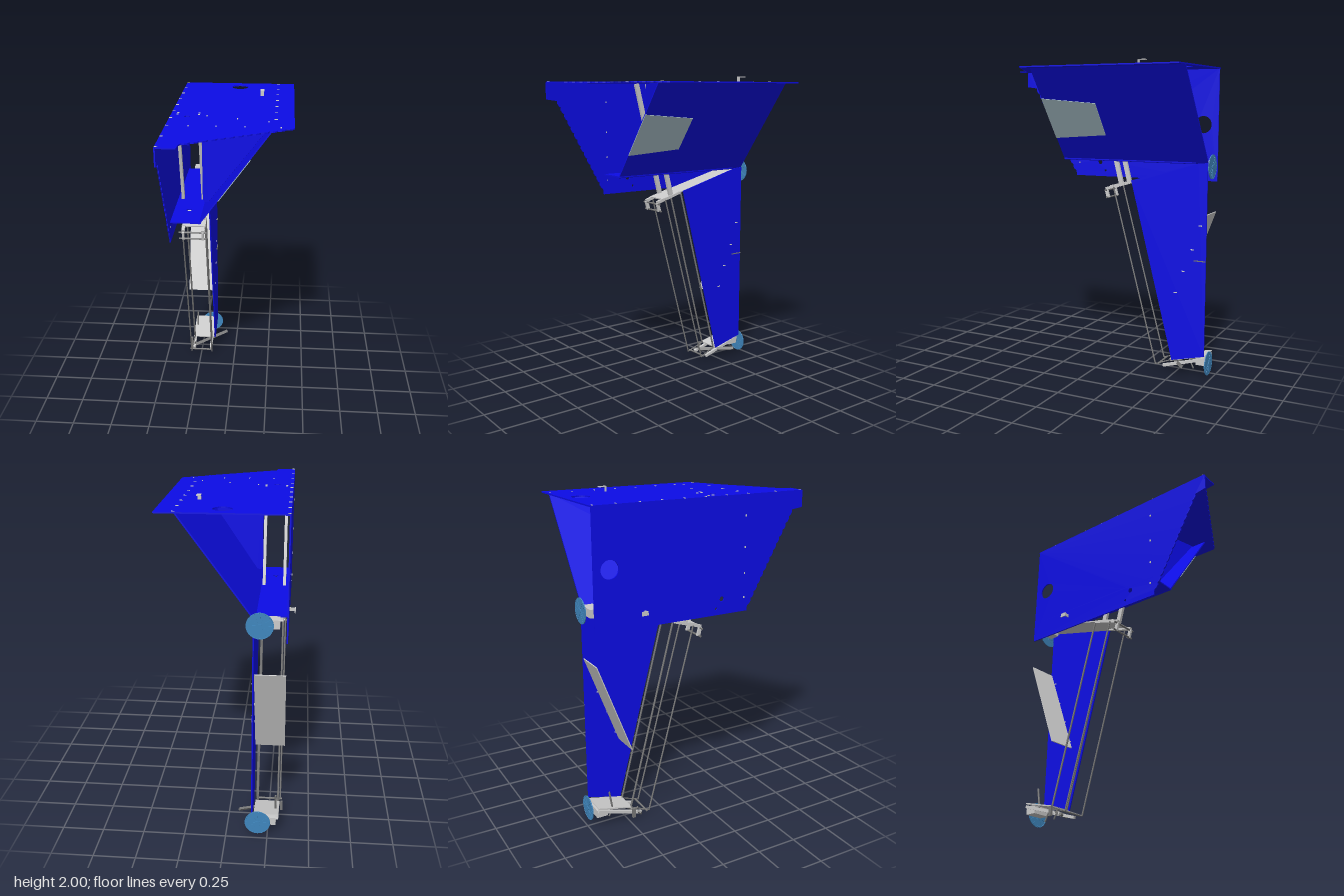
import * as THREE from 'three';

const mat = (color) => new THREE.MeshStandardMaterial({ color, flatShading: true });
const BLUE = mat(0x0c0ce6), GREY = mat(0xcccccc), DARK = mat(0x777777);
const PANE = mat(0xb4ccd6), WHEEL = mat(0x3f86bd);
const T = 0.008; // sheet thickness

export function createModel() {
  const model = new THREE.Group();

  const add = (name, geo, material, parent = model) => {
    const m = new THREE.Mesh(geo, material);
    m.name = name;
    parent.add(m);
    return m;
  };
  const box = (name, w, h, d, x, y, z, material = GREY, parent = model) => {
    const m = add(name, new THREE.BoxGeometry(w, h, d), material, parent);
    m.position.set(x, y, z);
    return m;
  };
  // flat sheet from an outline, with round holes [u, v, radius, sides]
  const sheet = (pts, holes = [], t = T) => {
    const s = new THREE.Shape(pts.map((p) => new THREE.Vector2(...p)));
    for (const [u, v, r, n] of holes) {
      const ring = Array.from({ length: n }, (_, i) => {
        const a = (i / n) * Math.PI * 2;
        return new THREE.Vector2(u + r * Math.cos(a), v + r * Math.sin(a));
      });
      s.holes.push(new THREE.Path(ring));
    }
    return new THREE.ExtrudeGeometry(s, { depth: t, bevelEnabled: false });
  };
  const lying = (g) => g.rotateX(Math.PI / 2);     // (u,v) -> (x,z)
  const sideways = (g) => g.rotateY(-Math.PI / 2); // (u,v) -> (z,y)
  // scalloped edge between two points
  const scallop = (a, b, n, bump) => {
    const du = b[0] - a[0], dv = b[1] - a[1], l = Math.hypot(du, dv);
    const out = [];
    for (let i = 0; i < n; i++) {
      for (const [f, o] of [[0, 0], [0.3, 1], [0.7, 1]]) {
        const t = (i + f) / n;
        out.push([a[0] + du * t - (dv / l) * bump * o, a[1] + dv * t + (du / l) * bump * o]);
      }
    }
    out.push(b);
    return out;
  };
  // straight bar between two points: round, or square if a width is given
  const bar = (name, a, b, r, width = 0, material = DARK) => {
    const p = new THREE.Vector3(...a), q = new THREE.Vector3(...b);
    const l = p.distanceTo(q);
    const g = width ? new THREE.BoxGeometry(width, l, r) : new THREE.CylinderGeometry(r, r, l, 8);
    const m = add(name, g, material);
    m.position.copy(p).add(q).multiplyScalar(0.5);
    m.quaternion.setFromUnitVectors(new THREE.Vector3(0, 1, 0), q.sub(p).normalize());
    return m;
  };

  // roof sheet with scalloped diagonal front edge
  const roof = lying(sheet([
    [-0.345, -0.705], [0.375, -0.705],
    ...scallop([0.375, 0.32], [-0.215, 0.64], 13, -0.008),
    [-0.225, 0.66], [-0.23, 0.715], [-0.345, 0.715],
  ], [[0.02, -0.6, 0.054, 28], [-0.245, 0.13, 0.018, 6]]));
  add('roof', roof, BLUE).position.y = 1.966;

  // upright side wall
  const wall = sideways(sheet([
    [-0.7, 1.25], [0.325, 1.25], [0.325, 1.27],
    ...scallop([0.33, 1.285], [0.645, 1.85], 14, -0.008),
    [0.72, 1.86], [0.72, 1.962], [-0.7, 1.962],
  ], [[-0.6, 1.61, 0.055, 28], [0.14, 1.347, 0.017, 6], [0.1, 1.29, 0.009, 6]]));
  add('sideWall', wall, BLUE).position.x = -0.337;

  // floor sheet
  const floor = lying(sheet(
    [[-0.345, -0.62], [-0.155, -0.62], [-0.155, 0.32], [-0.345, 0.32]],
    [[-0.245, 0.13, 0.018, 6]]));
  add('floor', floor, BLUE).position.y = 1.382;

  // sloping wall with a tapered pane on its outer face
  const slope = new THREE.Group();
  slope.name = 'slopingWall';
  slope.position.set(0.048, 1.667, -0.19);
  slope.rotation.z = Math.atan2(0.59, 0.43);
  model.add(slope);
  box('slopingSheet', 0.73, T, 1.02, 0, 0, 0, BLUE, slope);
  const pane = lying(sheet([[-0.179, 0.511], [-0.148, 0.137], [0.099, 0.137], [0.136, 0.511]], [], 0.004));
  add('pane', pane, PANE, slope).position.y = -0.003;

  // triangular partition, set slightly askew
  const partition = add('partition', sheet([
    [0, 1.96], [0, 1.445], [0.012, 1.43], [0.035, 1.433], [0.43, 1.96],
  ]), BLUE);
  partition.position.set(-0.162, 0, 0.1);
  partition.rotation.y = -0.27;

  // leg sheet
  const leg = sideways(sheet([
    [-0.48, 0.085], [-0.47, 0.08], [-0.7, 0.14], [-0.7, 1.38], [-0.64, 1.375], [-0.18, 1.25], [-0.185, 1.235],
  ].filter((_, i) => i !== 1)));
  add('legSheet', leg, BLUE).position.x = -0.15;
  box('legSeam', 0.01, 0.006, 0.08, -0.15, 0.76, -0.66, DARK);

  // leg end plates, rear cover and hooked upper bracket
  bar('legTopPlate', [-0.24, 1.205, -0.02], [-0.24, 1.365, -0.65], 0.008, 0.15, GREY);
  bar('legBottomPlate', [-0.24, 0.085, -0.48], [-0.24, 0.135, -0.7], 0.008, 0.15, GREY);
  bar('rearCover', [-0.25, 0.49, -0.48], [-0.25, 1.055, -0.695], 0.006, 0.18, GREY);

  // mirrored pairs of hangers, rods, hooks and base arms
  for (const s of [-1, 1]) {
    const x = -0.243 + s * 0.063;
    bar('hanger', [x, 1.955, 0.085], [x, 1.215, -0.1], 0.03, 0.018, GREY);
    bar('frontRod', [x + s * 0.012, 1.2, -0.045], [x + s * 0.012, 0.035, -0.36], 0.005);
    bar('innerRod', [x, 1.24, -0.18], [x, 0.085, -0.48], 0.006);
    bar('hookArm', [x, 1.185, 0.015], [x, 1.24, -0.17], 0.018, 0.02, GREY);
    bar('hookTip', [x, 1.18, 0.012], [x, 1.125, -0.003], 0.022, 0.014, GREY);
    bar('baseArm', [x, 0.03, -0.41], [x, 0.115, -0.7], 0.018, 0.018, GREY);
    bar('baseLink', [x + s * 0.012, 0.035, -0.36], [x, 0.09, -0.5], 0.004);
  }
  for (const [y, z] of [[1.175, 0.01], [1.128, 0]]) {
    bar('upperCrossbar', [-0.335, y, z], [-0.155, y, z], 0.006);
  }

  // base spindle, bars and pin
  bar('baseCrossbar', [-0.33, 0.04, -0.38], [-0.165, 0.04, -0.38], 0.006);
  bar('baseLever', [-0.33, 0.035, -0.42], [-0.07, 0.082, -0.58], 0.014, 0.02);
  box('baseFoot', 0.014, 0.06, 0.02, -0.328, 0.05, -0.47, DARK);
  bar('basePin', [-0.24, 0.1, -0.56], [-0.24, 0.02, -0.6], 0.005);
  bar('baseStop', [-0.3, 0.07, -0.43], [-0.3, 0.005, -0.465], 0.005);
  bar('basePost', [-0.295, 0.1, -0.6], [-0.295, 0.22, -0.62], 0.006);

  // wheels with hub, spokes, rim and mounting block
  for (const y of [1.355, 0.088]) {
    const wheel = new THREE.Group();
    wheel.name = 'wheel';
    wheel.position.set(-0.19, y, -0.717);
    model.add(wheel);
    add('disc', new THREE.CylinderGeometry(0.077, 0.077, 0.004, 32).rotateX(Math.PI / 2), WHEEL, wheel);
    add('rim', new THREE.TorusGeometry(0.074, 0.003, 6, 32), WHEEL, wheel);
    add('hub', new THREE.CylinderGeometry(0.014, 0.014, 0.014, 16).rotateX(Math.PI / 2), WHEEL, wheel);
    for (let i = 0; i < 6; i++) {
      const spoke = box('spoke', 0.14, 0.005, 0.007, 0, 0, 0, WHEEL, wheel);
      spoke.rotation.z = (i * Math.PI) / 6;
    }
    bar('axle', [-0.19, y, -0.72], [-0.19, y, -0.65], 0.008);
    box('wheelMount', 0.12, 0.05, 0.07, -0.24, y + 0.005, -0.67);
  }

  // roof catch and wall catch
  box('roofCatch', 0.025, 0.005, 0.05, 0.172, 1.997, -0.395);
  box('roofCatchPost', 0.02, 0.034, 0.006, 0.172, 1.98, -0.373);
  box('wallCatch', 0.035, 0.02, 0.006, -0.362, 1.34, -0.385);
  box('wallCatchLip', 0.006, 0.025, 0.04, -0.378, 1.34, -0.4);

  // small fixing tabs on roof, wall, slope and leg
  const tab = (x, y, z, w = 0.018, h = 0.006, d = 0.006) => box('tab', w, h, d, x, y, z);
  const rows = [-0.69, -0.55, -0.405, -0.263, -0.12, 0.022, 0.165, 0.32, 0.52, 0.705];
  rows.forEach((z, i) => {
    tab(-0.335, 1.966, z);
    if (i < 7) tab(0.27, 1.966, z);
  });
  for (const x of [-0.215, -0.06, 0.1, 0.3]) tab(x, 1.966, 0.32, 0.006, 0.006, 0.02);
  for (const [x, z] of [[-0.13, 0.11], [0.05, 0.16], [0.23, 0.21]]) tab(x, 1.966, z, 0.006, 0.006, 0.018);
  for (const x of [-0.305, -0.18]) for (const z of [0.06, 0.09]) tab(x, 1.966, z, 0.012, 0.008, 0.012);
  for (const y of [1.34, 1.49, 1.65, 1.84]) tab(-0.343, y, 0.3, 0.014, 0.012, 0.006);
  for (const [y, z] of [[0.985, -0.66], [0.83, -0.61], [0.685, -0.55], [0.54, -0.5]]) {
    tab(-0.153, y, z, 0.014, 0.006, 0.02);
  }
  return model;
}
